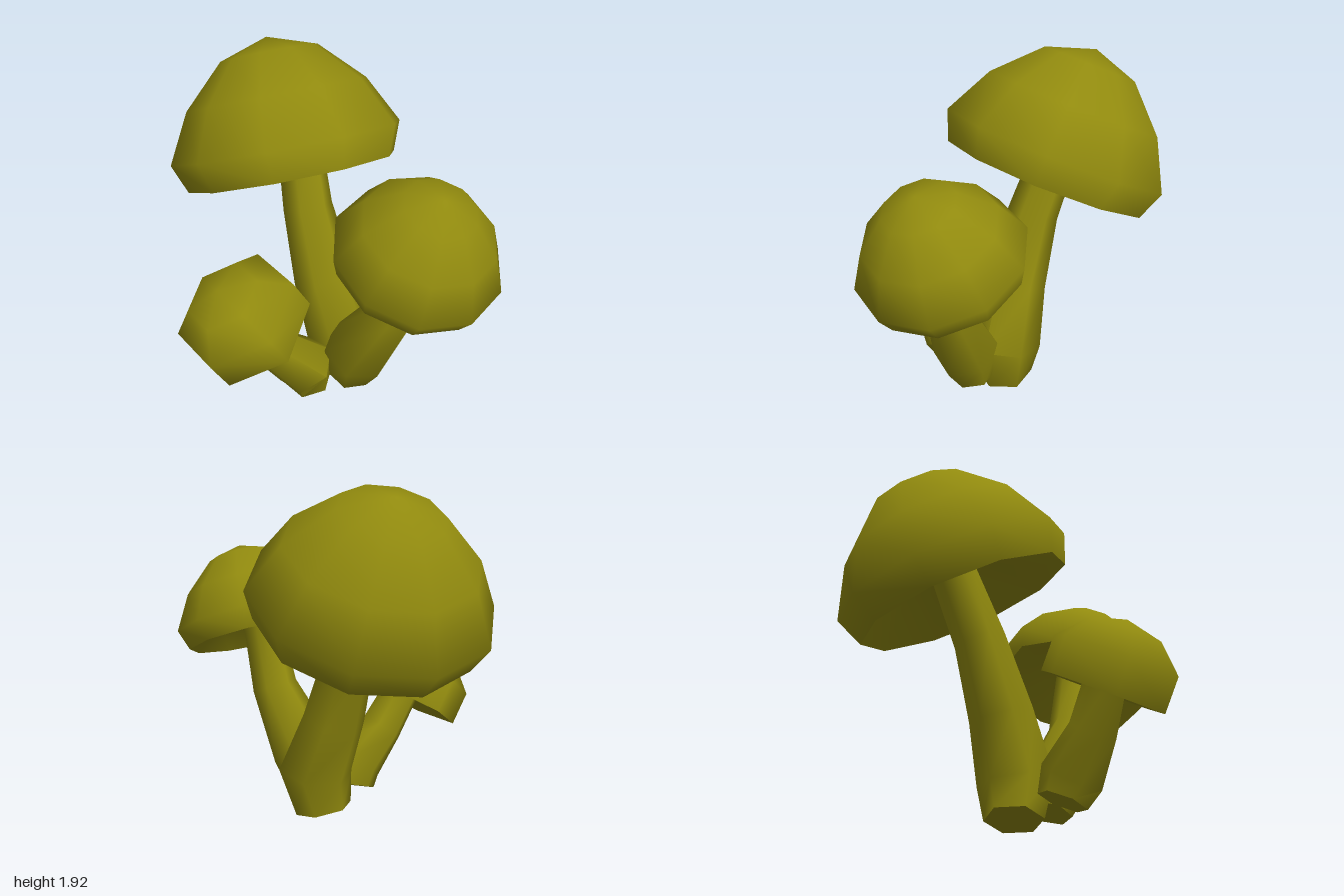
import * as THREE from 'three';
import { toCreasedNormals } from 'three/addons/utils/BufferGeometryUtils.js';

const UP = new THREE.Vector3(0, 1, 0);
const V = (a) => new THREE.Vector3(...a);

// Cap turned from [radius, height] points, hollow underneath, tilted so it leans along axis
function makeCap({ profile, sides, turn, centre, axis }, material) {
  const points = profile.map(([r, y]) => new THREE.Vector2(r, y));
  const geometry = new THREE.LatheGeometry(points, sides, turn);
  const cap = new THREE.Mesh(toCreasedNormals(geometry, 1.2), material);
  cap.name = 'cap';
  cap.position.copy(V(centre));
  cap.quaternion.setFromUnitVectors(UP, V(axis).normalize());
  return cap;
}

// Shallow hollow underside, tucked lip, widest ring, then two dome rings
function domeProfile(radius, height, lip) {
  return [
    [0, height * 0.2], [radius * 0.5, height * 0.04], [radius * 0.9, -lip], [radius, 0],
    [radius * 0.78, height * 0.46], [radius * 0.42, height * 0.85], [0, height],
  ];
}

// Six-sided stem: each cylinder row moves to a ring [x, y, z, radius] along the path
function makeStem(rings, material) {
  const last = rings.length - 1;
  const geometry = new THREE.CylinderGeometry(1, 1, last, 6, last);
  const pos = geometry.attributes.position;
  const centres = rings.map((r) => V(r.slice(0, 3)));
  const turns = centres.map((c, i) => {
    const along = centres[Math.min(i + 1, last)].clone().sub(centres[Math.max(i - 1, 0)]);
    return new THREE.Quaternion().setFromUnitVectors(UP, along.normalize());
  });
  const p = new THREE.Vector3();
  for (let i = 0; i < pos.count; i++) {
    const row = Math.round(pos.getY(i) + last / 2);
    p.set(pos.getX(i), 0, pos.getZ(i)).multiplyScalar(rings[row][3]);
    p.applyQuaternion(turns[row]).add(centres[row]);
    pos.setXYZ(i, p.x, p.y, p.z);
  }
  const stem = new THREE.Mesh(toCreasedNormals(geometry, 1.2), material);
  stem.name = 'stem';
  return stem;
}

export function createModel() {
  const olive = new THREE.MeshStandardMaterial({ color: 0x918a0e });
  olive.name = 'olive';

  const mushrooms = [
    {
      name: 'tallMushroom',
      cap: {
        profile: domeProfile(0.678, 0.61, 0.17), sides: 10, turn: 0.17,
        centre: [-0.335, 1.33, -0.298], axis: [-0.32, 1, -0.39],
      },
      stem: [[0.02, 0.03, -0.01, 0.165], [0.07, 0.26, -0.01, 0.215], [-0.06, 0.6, -0.07, 0.18],
        [-0.18, 1.0, -0.17, 0.145], [-0.29, 1.48, -0.34, 0.125]],
    },
    {
      name: 'middleMushroom',
      cap: {
        profile: domeProfile(0.475, 0.45, 0.12), sides: 10, turn: 0.25,
        centre: [0.55, 1.085, 0.29], axis: [0.33, 1, 0.25],
      },
      stem: [[0.16, 0.1, 0.16, 0.13], [0.2, 0.29, 0.2, 0.195], [0.42, 0.67, 0.27, 0.135],
        [0.53, 1.18, 0.3, 0.11]],
    },
    {
      name: 'smallMushroom',
      cap: {
        profile: [[0, 0.07], [0.355, 0], [0.355, 0.2], [0.21, 0.34], [0, 0.395]],
        sides: 6, turn: -0.17,
        centre: [-0.315, 0.59, 0.5], axis: [-0.33, 0.87, 0.4],
      },
      stem: [[-0.07, 0.09, 0.26, 0.14], [-0.07, 0.22, 0.31, 0.175], [-0.21, 0.42, 0.44, 0.13],
        [-0.34, 0.7, 0.54, 0.11]],
    },
  ];

  const model = new THREE.Group();
  model.name = 'mushroomCluster';
  for (const { name, cap, stem } of mushrooms) {
    const group = new THREE.Group();
    group.name = name;
    group.add(makeCap(cap, olive), makeStem(stem, olive));
    model.add(group);
  }
  return model;
}
